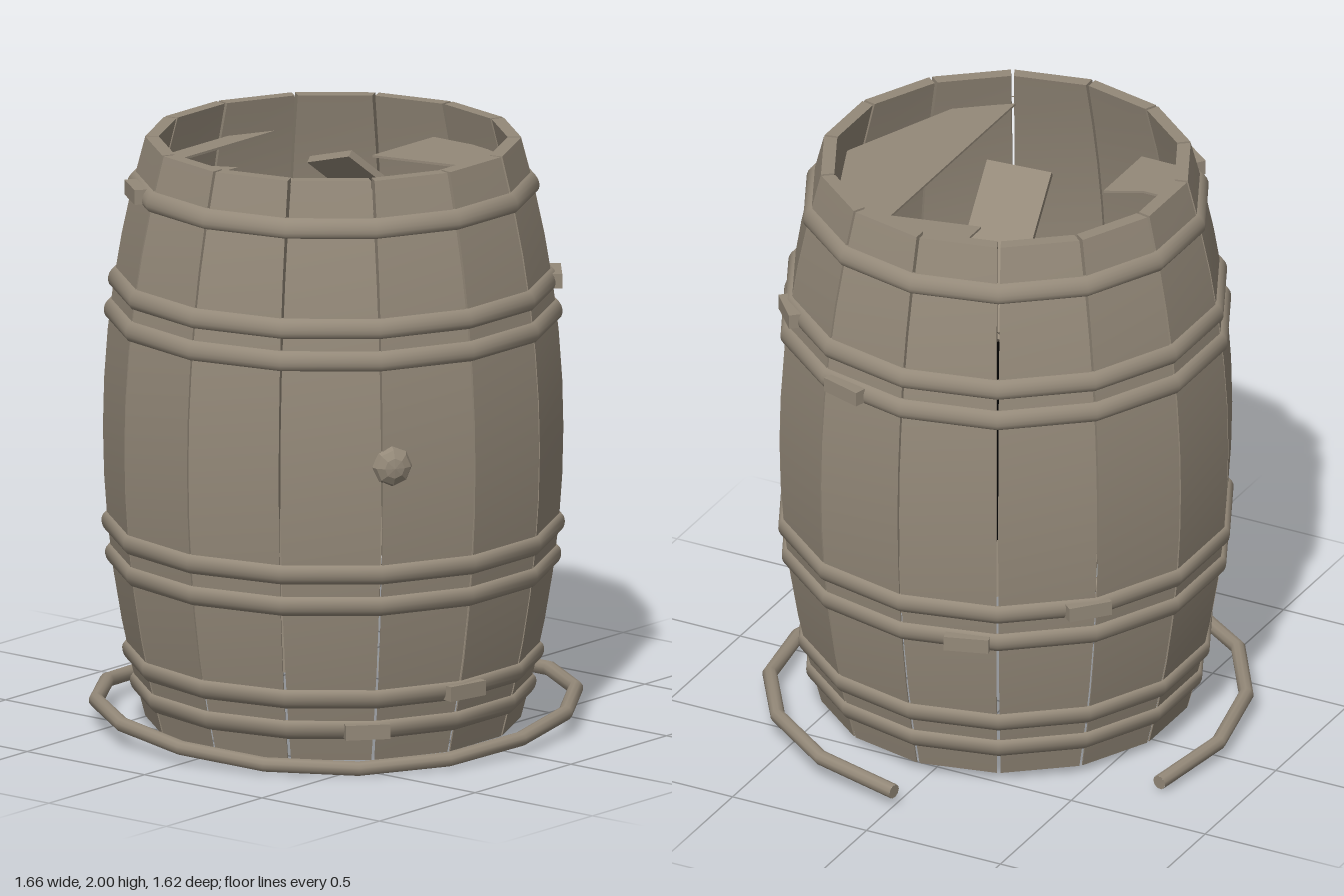
import * as THREE from 'three';

const SIDES = 14, CX = -0.07, CZ = 0.045, BOTTOM = 0.03, TOP = 2;

// Outer barrel radius at height y
const radiusAt = (y) => 0.76 - 0.14 * ((y - 1.015) / 0.985) ** 2;

function faceted(geometry) {
  const g = geometry.toNonIndexed();
  g.computeVertexNormals();
  return g;
}

// One bulging stave: a box bent to the barrel profile, thick above the middle and thin below
function staveGeometry(index) {
  const g = new THREE.BoxGeometry(1, 1, 1, 1, 12, 1);
  const p = g.attributes.position;
  const step = (Math.PI * 2) / SIDES;
  for (let i = 0; i < p.count; i++) {
    const t = p.getY(i) * 2;
    const y = BOTTOM + ((t + 1) / 2) * (TOP - BOTTOM);
    const thickness = t > -0.01 ? 0.045 : 0.006;
    const r = radiusAt(y) - (p.getZ(i) > 0 ? 0 : thickness);
    const half = step / 2 - 0.004 - 0.005 * t * t;
    const a = (index + 0.5) * step - Math.sign(p.getX(i)) * half;
    p.setXYZ(i, r * Math.cos(a), y, r * Math.sin(a));
  }
  g.computeVertexNormals();
  return g;
}

// Rounded band that follows the slope of the staves
function hoopGeometry(y) {
  const profile = Array.from({ length: 9 }, (_, i) => {
    const a = (i / 8 - 0.5) * Math.PI;
    const h = y + 0.034 * Math.sin(a);
    return new THREE.Vector2(radiusAt(h) - 0.003 + 0.023 * Math.cos(a), h);
  });
  return new THREE.LatheGeometry(profile, SIDES, Math.PI / 2);
}

// Flat lid board from an outline in x and z
function boardGeometry(points) {
  const shape = new THREE.Shape(points.map(([x, z]) => new THREE.Vector2(x, z)));
  return new THREE.ExtrudeGeometry(shape, { depth: 0.008, bevelEnabled: false }).rotateX(Math.PI / 2);
}

export function createModel() {
  const model = new THREE.Group();
  model.name = 'brokenBarrel';
  const wood = new THREE.MeshStandardMaterial({ color: 0x948979 });
  wood.name = 'weathered wood';
  const dark = new THREE.MeshStandardMaterial({ color: 0x010101 });
  dark.name = 'dark inside';

  const add = (name, geometry, parent = model, material = wood) => {
    const mesh = new THREE.Mesh(geometry, material);
    mesh.name = name;
    parent.add(mesh);
    return mesh;
  };

  // Barrel body
  const barrel = new THREE.Group();
  barrel.name = 'barrel';
  barrel.position.set(CX, 0, CZ);
  model.add(barrel);
  for (let i = 0; i < SIDES; i++) add('stave', staveGeometry(i), barrel);

  // Hoops
  for (const y of [1.848, 1.522, 1.415, 0.69, 0.58, 0.25, 0.14]) add('hoop', hoopGeometry(y), barrel);

  // Hoop clips: height and outward direction in x and z
  const clips = [
    [1.52, 0.5, 0.57], [1.415, 0.725, 0.23], [0.69, 0.5, -0.575], [0.58, 0.725, -0.235],
    [0.25, -0.14, 0.685], [0.14, -0.435, 0.5], [1.85, -0.53, -0.41],
  ];
  for (const [y, x, z] of clips) {
    const a = Math.atan2(x, z), r = radiusAt(y) + 0.01;
    const clip = add('hoopClip', new THREE.BoxGeometry(0.15, 0.05, 0.042), barrel);
    clip.position.set(r * Math.sin(a), y, r * Math.cos(a));
    clip.rotation.y = a;
  }

  // Bung in the side
  const bung = add('bung', faceted(new THREE.SphereGeometry(0.068, 8, 6).rotateX(Math.PI / 2)), barrel);
  bung.position.set(-0.44, 1.06, 0.61);
  bung.rotation.y = Math.atan2(-0.44, 0.61);
  bung.scale.z = 0.6;

  // Dark disc halfway down
  add('darkInside', new THREE.CylinderGeometry(0.705, 0.705, 0.1, SIDES).rotateY(Math.PI / 2), barrel, dark)
    .position.y = 1.0;

  // Remaining thin boards of the broken lid
  const boards = [
    [[0.48, 0.3], [0.36, 0.465], [-0.07, 0.638], [-0.5, 0.465], [-0.62, 0.3]],
    [[-0.4, -0.46], [-0.25, -0.535], [0.11, -0.535], [0.27, -0.46]],
    [[-0.49, -0.42], [-0.28, -0.465], [-0.28, -0.36], [-0.22, -0.24], [-0.49, -0.24]],
    [[0.19, 0], [0.51, 0], [0.51, 0.2], [0.47, 0.3], [0.26, 0.3]],
  ];
  for (const outline of boards) add('lidBoard', boardGeometry(outline)).position.y = 1.88;

  // Fallen boards leaning inside: middle of each end, and the sideways direction in x and z
  const fallen = [
    [[-0.235, 1.88, 0.08], [0.215, 1.48, 0.02], [0.04, 0.22]],
    [[0.18, 1.85, -0.175], [0.39, 1.66, -0.08], [-0.04, 0.21]],
  ];
  for (const [from, to, [sx, sz]] of fallen) {
    const a = new THREE.Vector3(...from), b = new THREE.Vector3(...to);
    const along = b.clone().sub(a);
    const across = new THREE.Vector3(sx, -(sx * along.x + sz * along.z) / along.y, sz);
    const board = add('fallenBoard', new THREE.BoxGeometry(along.length(), 0.025, across.length()));
    along.normalize();
    across.normalize();
    const up = new THREE.Vector3().crossVectors(across, along);
    board.quaternion.setFromRotationMatrix(new THREE.Matrix4().makeBasis(along, up, across));
    board.position.copy(a).add(b).multiplyScalar(0.5);
  }

  // Broken, warped hoop lying on the ground
  const path = Array.from({ length: 14 }, (_, i) => {
    const a = (i * Math.PI) / 8;
    return new THREE.Vector3(0.805 * Math.cos(a), 0.055 + 0.028 * Math.sin(2 * a), 0.787 * Math.sin(a));
  });
  const curve = new THREE.CatmullRomCurve3(path);
  add('looseHoop', new THREE.TubeGeometry(curve, 13, 0.025, 10));
  for (const [t, sign] of [[0, -1], [1, 1]]) {
    const cap = add('looseHoopEnd', new THREE.CircleGeometry(0.025, 10));
    cap.position.copy(curve.getPoint(t));
    cap.lookAt(cap.position.clone().addScaledVector(curve.getTangent(t), sign));
  }
  return model;
}
